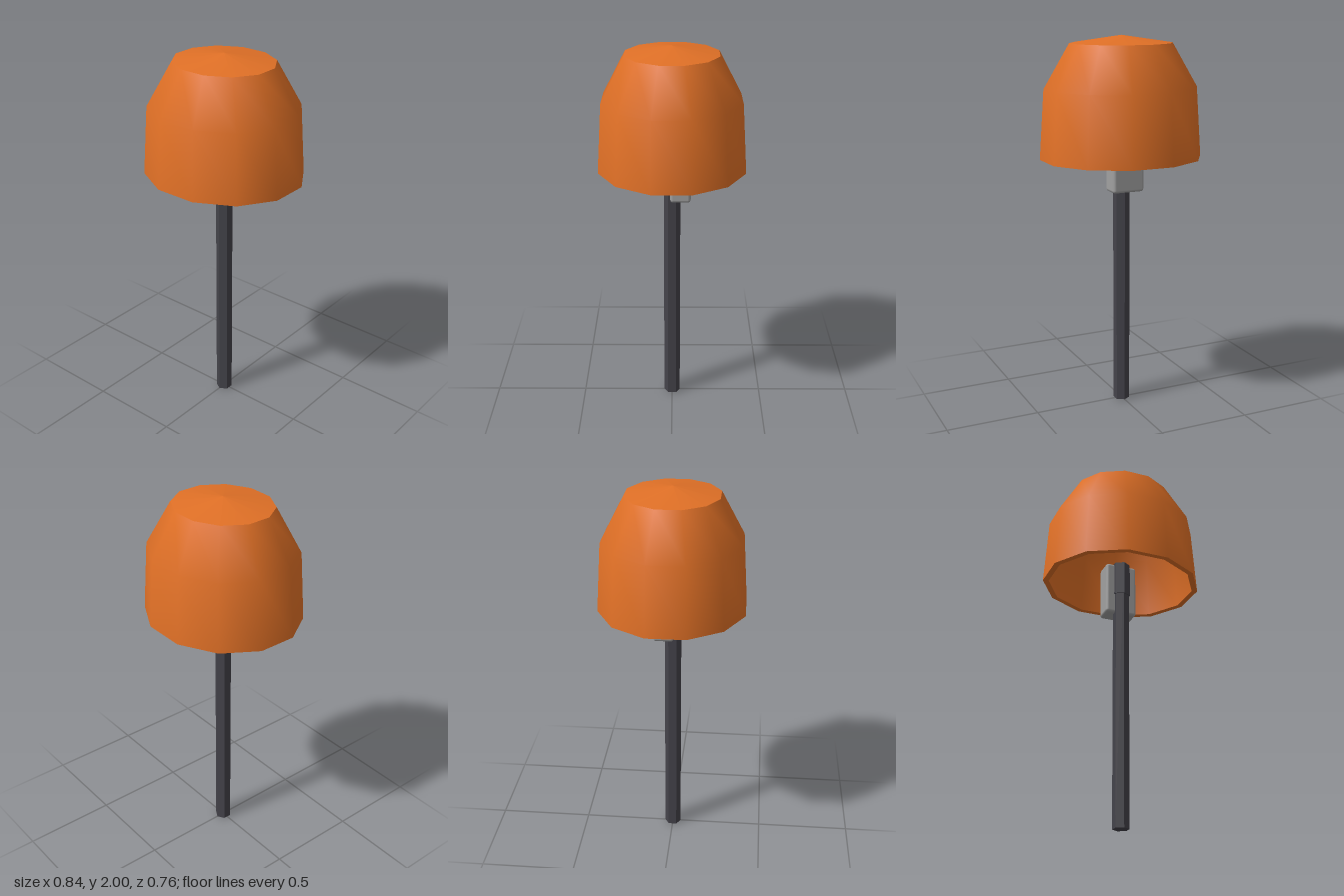
import * as THREE from 'three';
import { RoundedBoxGeometry } from 'three/addons/geometries/RoundedBoxGeometry.js';

export function createModel() {
  const group = new THREE.Group();
  const orange = new THREE.MeshStandardMaterial({ color: 0xe07026 });
  const darkMetal = new THREE.MeshStandardMaterial({ color: 0x44434a });
  const grey = new THREE.MeshStandardMaterial({ color: 0xa0a0a0 });

  const add = (name, geometry, material, x = 0, y = 0, z = 0) => {
    const mesh = new THREE.Mesh(geometry, material);
    mesh.name = name;
    mesh.position.set(x, y, z);
    group.add(mesh);
    return mesh;
  };

  // Twelve-sided oval shade: each strip is its own lathe so its borders stay sharp
  const strip = (name, profile) => {
    const points = profile.map(([r, y]) => new THREE.Vector2(r, y));
    const geometry = new THREE.LatheGeometry(points, 12, Math.PI / 12);
    geometry.scale(1, 1, 0.904);
    add(name, geometry, orange);
  };
  strip('shadeWall', [[0.435, 1.365], [0.409, 1.73], [0.273, 1.96]]);
  strip('shadeCap', [[0.273, 1.96], [0, 2]]);
  strip('shadeRim', [[0.403, 1.365], [0.435, 1.365]]);
  strip('shadeLiningTop', [[0, 1.96], [0.25, 1.93]]);
  strip('shadeLining', [[0.25, 1.93], [0.378, 1.715], [0.403, 1.365]]);

  // Hexagonal pole with one edge facing forward
  const hexagon = (radius, height) => {
    const geometry = new THREE.CylinderGeometry(radius, radius, height, 6).toNonIndexed();
    geometry.computeVertexNormals();
    return geometry;
  };
  add('pole', hexagon(0.044, 1.49), darkMetal, 0, 0.745, 0);

  // Collar where the pole enters the housing
  add('collar', hexagon(0.05, 0.19), darkMetal, 0, 1.395, 0);

  // Softly bevelled housing behind the pole, reaching up into the shade
  add('housing', new RoundedBoxGeometry(0.176, 0.3, 0.108, 2, 0.016), grey, 0, 1.34, -0.044);

  return group;
}
